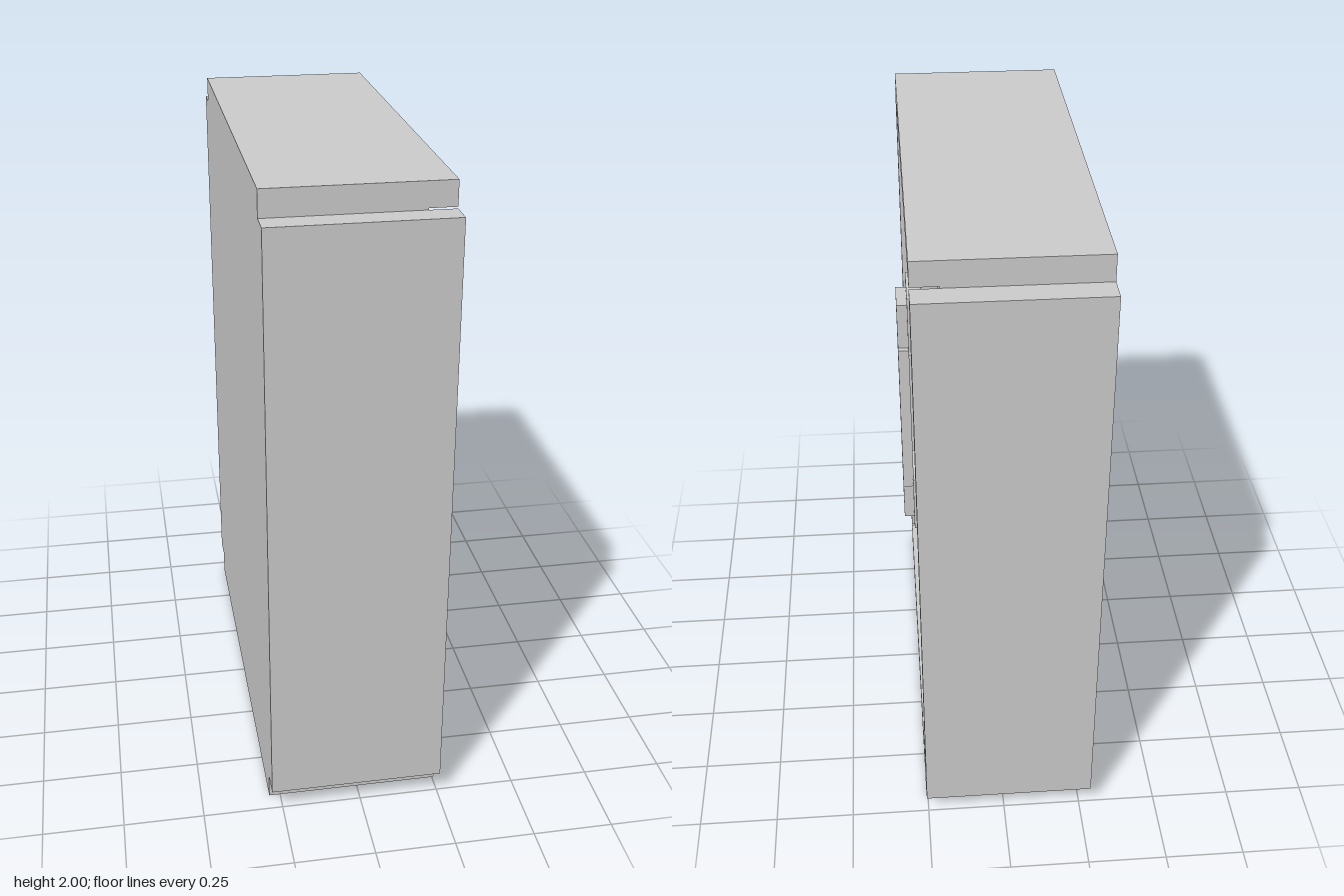
import * as THREE from 'three';

const material = new THREE.MeshStandardMaterial({ color: 0xcccccc, flatShading: true });

export function createModel() {
  const group = new THREE.Group();

  const add = (name, geometry) => {
    const mesh = new THREE.Mesh(geometry, material);
    mesh.name = name;
    group.add(mesh);
  };

  // Box given by its limits on each axis
  const box = (name, [x0, x1], [y0, y1], [z0, z1]) => {
    const g = new THREE.BoxGeometry(x1 - x0, y1 - y0, z1 - z0);
    g.translate((x0 + x1) / 2, (y0 + y1) / 2, (z0 + z1) / 2);
    add(name, g);
  };

  // Outline in the z-y plane, extruded along x from x0 to x1
  const slab = (name, shape, [x0, x1], y, z) => {
    const g = new THREE.ExtrudeGeometry(shape, { depth: x1 - x0, bevelEnabled: false });
    g.rotateY(Math.PI / 2);
    g.translate(x0, y, z);
    add(name, g);
  };

  const points = (list) => list.map(([a, b]) => new THREE.Vector2(a, b));
  const rect = (w, y0, y1) => points([[-w, y0], [w, y0], [w, y1], [-w, y1]]);

  // Rectangle with a small square notch in each corner
  const notched = (w, h, n) => new THREE.Shape(points([
    [-w + n, -h], [w - n, -h], [w - n, -h + n], [w, -h + n],
    [w, h - n], [w - n, h - n], [w - n, h], [-w + n, h],
    [-w + n, h - n], [-w, h - n], [-w, -h + n], [-w + n, -h + n],
  ]));

  // Outer casing
  const depth = [-0.285, 0.255];
  box('topPanel', depth, [1.925, 2], [-0.69, 0.69]);
  box('bottomPanel', depth, [0, 0.075], [-0.69, 0.69]);
  box('frontPanel', depth, [0.08, 1.92], [0.69, 0.77]);
  box('rearPanel', depth, [0.08, 1.92], [-0.77, -0.69]);
  box('backSlab', [-0.285, 0.02], [0.075, 1.925], [-0.69, 0.69]);

  // Recessed frame around the opening
  const frame = new THREE.Shape(rect(0.69, 0.075, 1.925));
  frame.holes.push(new THREE.Path(rect(0.6, 0.155, 1.85)));
  slab('innerFrame', frame, [0.02, 0.175], 0, 0);

  // Raised blocks on the inner panel
  box('upperBlock', [0.02, 0.092], [1.57, 1.85], [-0.6, 0.6]);
  box('lowerBlock', [0.02, 0.09], [0.32, 0.575], [-0.505, 0.505]);

  // Handle mounts
  const handleZ = 0.28;
  for (const [side, y] of [['upper', 1.305], ['lower', 0.565]]) {
    slab(side + 'MountPlate', notched(0.147, 0.172, 0.025), [0.1, 0.205], y, handleZ);
    box(side + 'MountStep', [0.205, 0.25], [y - 0.11, y + 0.11], [handleZ - 0.095, handleZ + 0.095]);
  }

  // Handle bar: wide grip with narrower ends
  const bar = [0.248, 0.285];
  box('handleGrip', bar, [0.64, 1.21], [0.195, 0.365]);
  box('handleUpperEnd', bar, [1.21, 1.375], [0.215, 0.345]);
  box('handleLowerEnd', bar, [0.49, 0.64], [0.215, 0.345]);

  return group;
}
